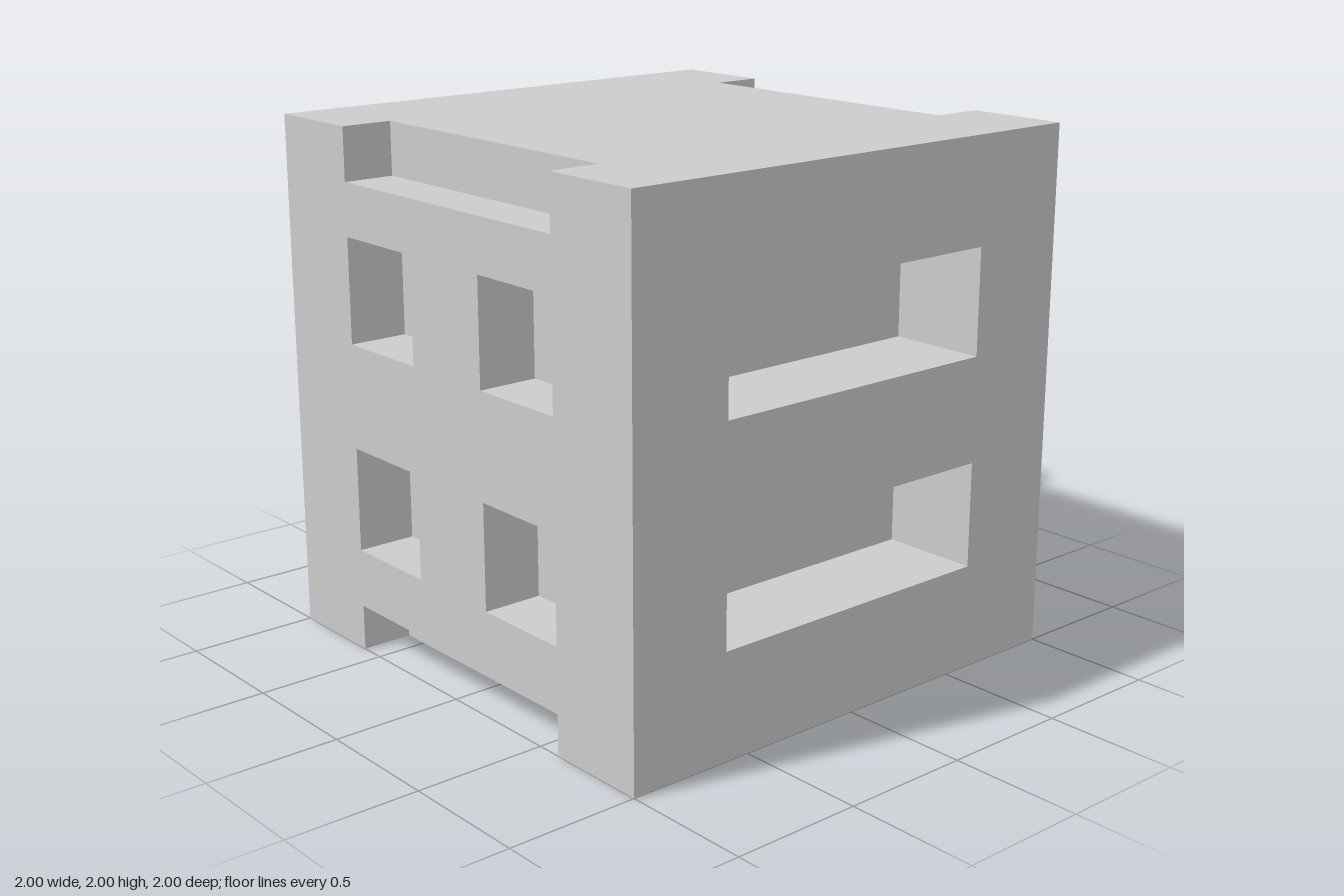
import * as THREE from 'three';
import { mergeGeometries } from 'three/addons/utils/BufferGeometryUtils.js';

const material = new THREE.MeshStandardMaterial({ color: 0xcccccc, flatShading: true });
const NOTCH = { half: 0.6, depth: 0.2, top: 0.2, bottom: 0.175 };
// Box face order: +x, -x, +y, -y, +z, -z
const TOP = 2, BOTTOM = 3, OPENING = 4;

const toVectors = (points) => points.map(([x, y]) => new THREE.Vector2(x, y));

// Flat panel in the xy plane with rectangular holes
function panel(outline, holes = []) {
  const shape = new THREE.Shape(toVectors(outline));
  for (const { x, y, w, h } of holes) {
    const a = x - w / 2, b = x + w / 2, c = y - h / 2, d = y + h / 2;
    shape.holes.push(new THREE.Path(toVectors([[a, c], [a, d], [b, d], [b, c]])));
  }
  return new THREE.ShapeGeometry(shape).toNonIndexed();
}

// Inward-facing recess lining behind z = 1, leaving the listed faces open
function lining({ x, y, w, h, depth }, open = [OPENING]) {
  const box = new THREE.BoxGeometry(w, h, depth);
  const index = Array.from(box.index.array)
    .filter((_, i) => !open.includes(Math.floor(i / 6)))
    .reverse();
  box.setIndex(index);
  box.translate(x, y, 1 - depth / 2);
  const geometry = box.toNonIndexed();
  geometry.clearGroups();
  geometry.computeVertexNormals();
  return geometry;
}

function add(group, name, parts) {
  const mesh = new THREE.Mesh(mergeGeometries(parts), material);
  mesh.name = name;
  group.add(mesh);
  return mesh;
}

export function createModel() {
  const group = new THREE.Group();
  group.name = 'recessedBlock';
  const { half, depth, top, bottom } = NOTCH;
  const rows = [0.6, 1.4];

  // Front and back: two wide slots each
  const slots = rows.map((y) => ({ x: 0, y, w: 1.2, h: 0.4, depth: 0.38 }));
  const square = [[-1, 0], [1, 0], [1, 2], [-1, 2]];
  ['frontFace', 'backFace'].forEach((name, i) => {
    const mesh = add(group, name, [
      panel(square, slots).translate(0, 0, 1),
      ...slots.map((s) => lining(s)),
    ]);
    mesh.rotation.y = i * Math.PI;
  });

  // Sides: four square pockets, with notches in the top and bottom edges
  const pockets = rows.flatMap((y) =>
    [-0.4, 0.4].map((x) => ({ x, y, w: 0.4, h: 0.4, depth: 0.23 })));
  const sideOutline = [
    [-1, 0], [-half, 0], [-half, bottom], [half, bottom], [half, 0], [1, 0],
    [1, 2], [half, 2], [half, 2 - top], [-half, 2 - top], [-half, 2], [-1, 2],
  ];
  ['leftFace', 'rightFace'].forEach((name, i) => {
    const mesh = add(group, name, [
      panel(sideOutline, pockets).translate(0, 0, 1),
      ...pockets.map((p) => lining(p)),
      lining({ x: 0, y: 2 - top / 2, w: 2 * half, h: top, depth }, [OPENING, TOP]),
      lining({ x: 0, y: bottom / 2, w: 2 * half, h: bottom, depth }, [OPENING, BOTTOM]),
    ]);
    mesh.rotation.y = (i ? -1 : 1) * Math.PI / 2;
  });

  // Top and bottom: squares notched on both sides
  const inner = 1 - depth;
  const capOutline = [
    [-1, -1], [1, -1], [1, -half], [inner, -half], [inner, half], [1, half],
    [1, 1], [-1, 1], [-1, half], [-inner, half], [-inner, -half], [-1, -half],
  ];
  const topFace = add(group, 'topFace', [panel(capOutline)]);
  topFace.rotation.x = -Math.PI / 2;
  topFace.position.y = 2;
  const bottomFace = add(group, 'bottomFace', [panel(capOutline)]);
  bottomFace.rotation.x = Math.PI / 2;

  return group;
}
